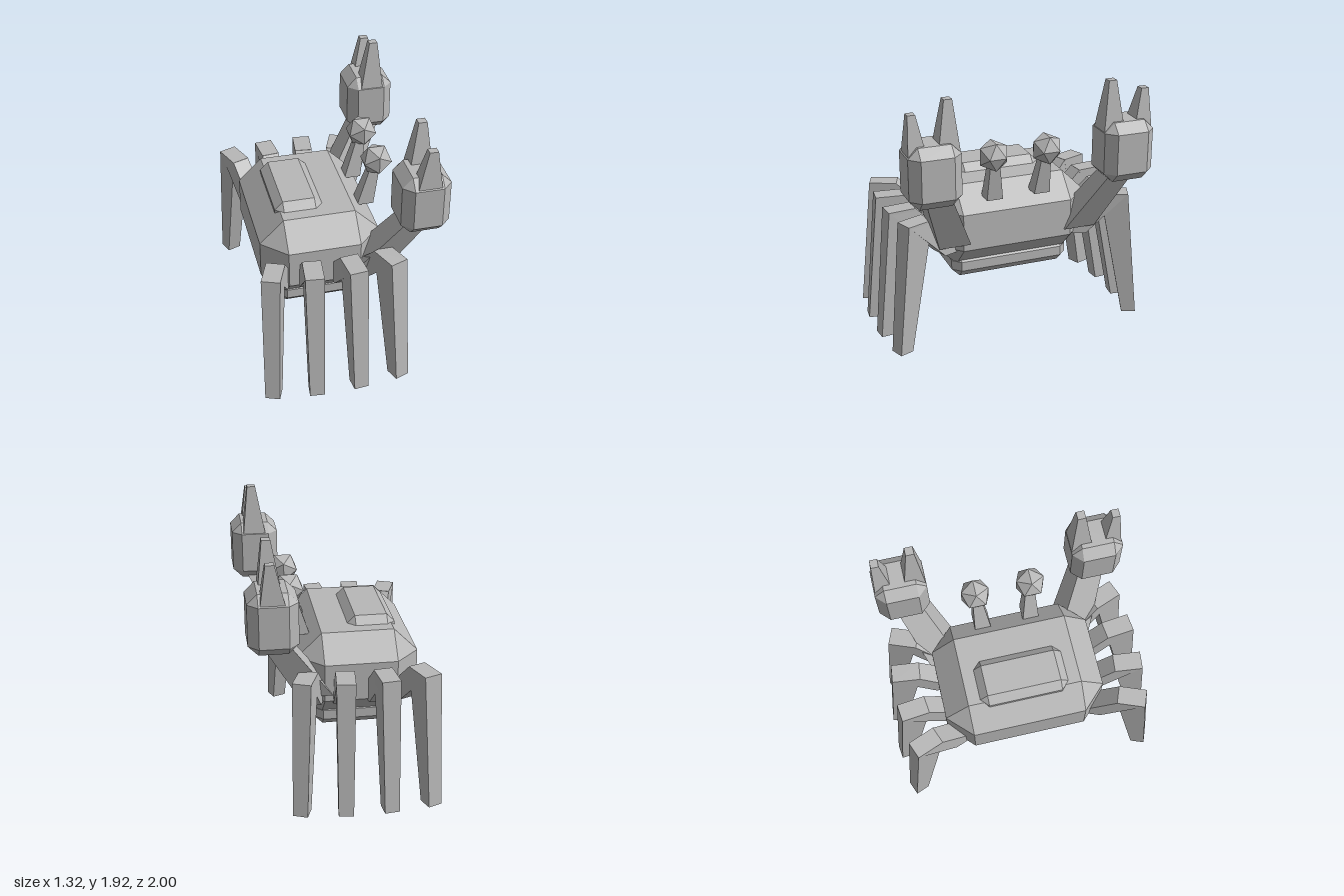
import * as THREE from 'three';
import { ConvexGeometry } from 'three/addons/geometries/ConvexGeometry.js';

const SIGNS = [-1, 1];

export function createModel() {
  const model = new THREE.Group();
  model.name = 'crab';
  const grey = new THREE.MeshStandardMaterial({ color: 0xb8b8b8 });
  grey.name = 'shell grey';
  grey.flatShading = true;

  const add = (parent, name, geometry, position = [0, 0, 0]) => {
    const mesh = new THREE.Mesh(geometry, grey);
    mesh.name = name;
    mesh.position.set(...position);
    parent.add(mesh);
    return mesh;
  };

  // Box with every edge and corner chamfered by b
  const chamferBox = (w, h, d, b) => {
    const half = [w / 2, h / 2, d / 2];
    const points = [];
    for (const sx of SIGNS) for (const sy of SIGNS) for (const sz of SIGNS) {
      for (let full = 0; full < 3; full++) {
        const c = [sx, sy, sz].map((s, i) => s * (half[i] - (i === full ? 0 : b)));
        points.push(new THREE.Vector3(...c));
      }
    }
    return new ConvexGeometry(points);
  };

  // Leaning, tapered bar with level ends; half sizes are [width, length], turned by yaw
  const bar = (from, fromHalf, to, toHalf, yaw = 0) => {
    const points = [];
    const c = Math.cos(yaw), s = Math.sin(yaw);
    for (const [p, [hw, hl]] of [[from, fromHalf], [to, toHalf]]) {
      for (const a of SIGNS) for (const b of SIGNS) {
        points.push(new THREE.Vector3(
          p[0] + a * hw * c + b * hl * s, p[1], p[2] - a * hw * s + b * hl * c));
      }
    }
    return new ConvexGeometry(points);
  };

  // Shell
  const cx = -0.14;
  add(model, 'body', chamferBox(0.86, 0.62, 1.17, 0.172), [cx, 0.83, 0]);
  add(model, 'bellyPlate', chamferBox(0.62, 0.19, 0.9, 0.06), [cx, 0.51, 0]);
  add(model, 'backPlate', chamferBox(0.345, 0.17, 0.65, 0.058), [-0.257, 1.11, 0]);

  for (const side of SIGNS) {
    const label = side > 0 ? 'Left' : 'Right';

    // Eye on its stalk
    add(model, 'eyeStalk' + label, bar(
      [0.24, 1.06, 0.18 * side], [0.06, 0.06],
      [0.32, 1.4, 0.195 * side], [0.03, 0.03]));
    add(model, 'eye' + label, new THREE.IcosahedronGeometry(0.117, 0), [0.322, 1.407, 0.2 * side]);

    // Arm, claw and two fingers
    const claw = new THREE.Group();
    claw.name = 'clawArm' + label;
    model.add(claw);
    add(claw, 'arm', bar(
      [0.185, 0.745, 0.482 * side], [0.12, 0.118],
      [0.5, 1.28, 0.695 * side], [0.085, 0.09]));
    add(claw, 'claw', chamferBox(0.34, 0.435, 0.37, 0.07), [0.49, 1.413, 0.706 * side]);
    add(claw, 'innerFinger', bar(
      [0.495, 1.565, 0.6 * side], [0.082, 0.077],
      [0.508, 1.92, 0.593 * side], [0.03, 0.029]));
    add(claw, 'outerFinger', bar(
      [0.495, 1.565, 0.82 * side], [0.082, 0.064],
      [0.508, 1.84, 0.842 * side], [0.03, 0.027]));

    // Four legs: offsets are measured from the body centre line
    for (const end of SIGNS) {
      const legs = [
        { name: 'outerLeg', hip: [0.31, 0.48], knee: [0.412, 0.765], foot: [0.46, 0.902], yaw: 0.37 },
        { name: 'middleLeg', hip: [0.115, 0.5], knee: [0.143, 0.803], foot: [0.157, 0.942], yaw: 0.11 },
      ];
      for (const { name, hip, knee, foot, yaw } of legs) {
        const leg = new THREE.Group();
        leg.name = name + label + (end > 0 ? 'Front' : 'Rear');
        model.add(leg);
        const at = ([x, z], y) => [cx + 0.005 + x * end, y, z * side];
        const turn = yaw * side * end;
        add(leg, 'thigh', bar(at(hip, 0.675), [0.07, 0.1], at(knee, 0.98), [0.065, 0.1], turn));
        add(leg, 'shin', bar(at(foot, 0), [0.053, 0.053], at(knee, 0.98), [0.066, 0.102], turn));
      }
    }
  }
  return model;
}
